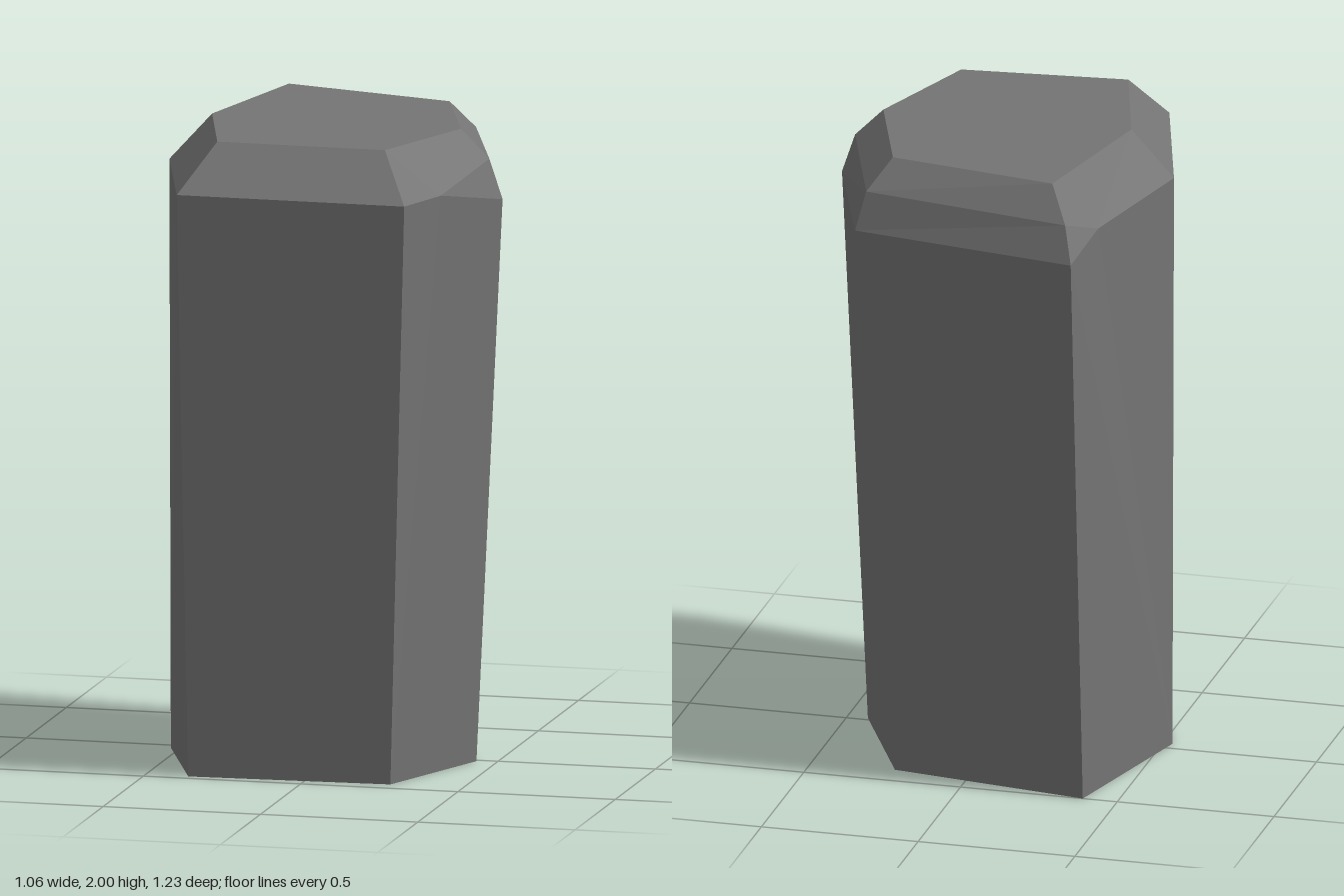
import * as THREE from 'three';

// Six corners, in order: back-right, back-left, left, front-left, front-right, right
const base = [[-0.39, 0, -0.5], [0.235, 0, -0.405], [0.435, 0, 0.015], [0.27, 0, 0.44], [-0.365, 0, 0.47], [-0.53, 0, 0.04]];
const rim = [[-0.382, 1.79, -0.613], [0.347, 1.78, -0.46], [0.527, 1.775, 0.05], [0.347, 1.842, 0.57], [-0.365, 1.852, 0.613], [-0.53, 1.852, 0.058]];
const crown = [[-0.285, 1.999, -0.47], [0.255, 1.992, -0.355], [0.395, 1.99, 0.05], [0.255, 1.992, 0.45], [-0.27, 1.999, 0.48], [-0.395, 2, 0.055]];

// Second bevel step on the first three corners, and the points where it runs out
const step = [[-0.35, 1.9, -0.56], [0.32, 1.9, -0.43], [0.485, 1.9, 0.05]];
const endLeft = [0.413, 1.842, 0.372];
const endRight = [-0.42, 1.85, -0.43];

// Flat faces from polygons, each fanned from its first corner
function faceted(name, polygons, material) {
  const positions = [];
  for (const p of polygons) {
    for (let i = 1; i < p.length - 1; i++) positions.push(...p[0], ...p[i], ...p[i + 1]);
  }
  const geometry = new THREE.BufferGeometry();
  geometry.setAttribute('position', new THREE.Float32BufferAttribute(positions, 3));
  geometry.computeVertexNormals();
  const mesh = new THREE.Mesh(geometry, material);
  mesh.name = name;
  return mesh;
}

export function createModel() {
  const stone = new THREE.MeshStandardMaterial({ color: 0x747474 });
  stone.name = 'grey stone';
  const group = new THREE.Group();
  group.name = 'stonePillar';

  // Tapered sides; the last two have an extra corner on the upper edge
  const sides = [0, 1, 3, 4].map((i) => [base[i + 1], base[i], rim[i], rim[i + 1]]);
  sides.push([base[3], base[2], rim[2], endLeft, rim[3]]);
  sides.push([base[5], rim[5], endRight, rim[0], base[0]]);
  group.add(faceted('pillarSides', sides, stone));

  // Sloped shoulder under the crown
  const shoulder = [
    [rim[1], rim[0], step[0], step[1]],
    [rim[2], rim[1], step[1], step[2]],
    [step[1], step[0], crown[0], crown[1]],
    [step[2], step[1], crown[1], crown[2]],
    [endLeft, rim[2], step[2]],
    [crown[3], rim[3], endLeft, step[2], crown[2]],
    [rim[4], rim[3], crown[3], crown[4]],
    [rim[5], rim[4], crown[4], crown[5]],
    [rim[0], endRight, step[0]],
    [endRight, rim[5], crown[5], crown[0], step[0]],
  ];
  group.add(faceted('bevelledShoulder', shoulder, stone));

  // Top and underside
  group.add(faceted('topFace', [[...crown].reverse()], stone));
  group.add(faceted('underside', [base], stone));
  return group;
}
